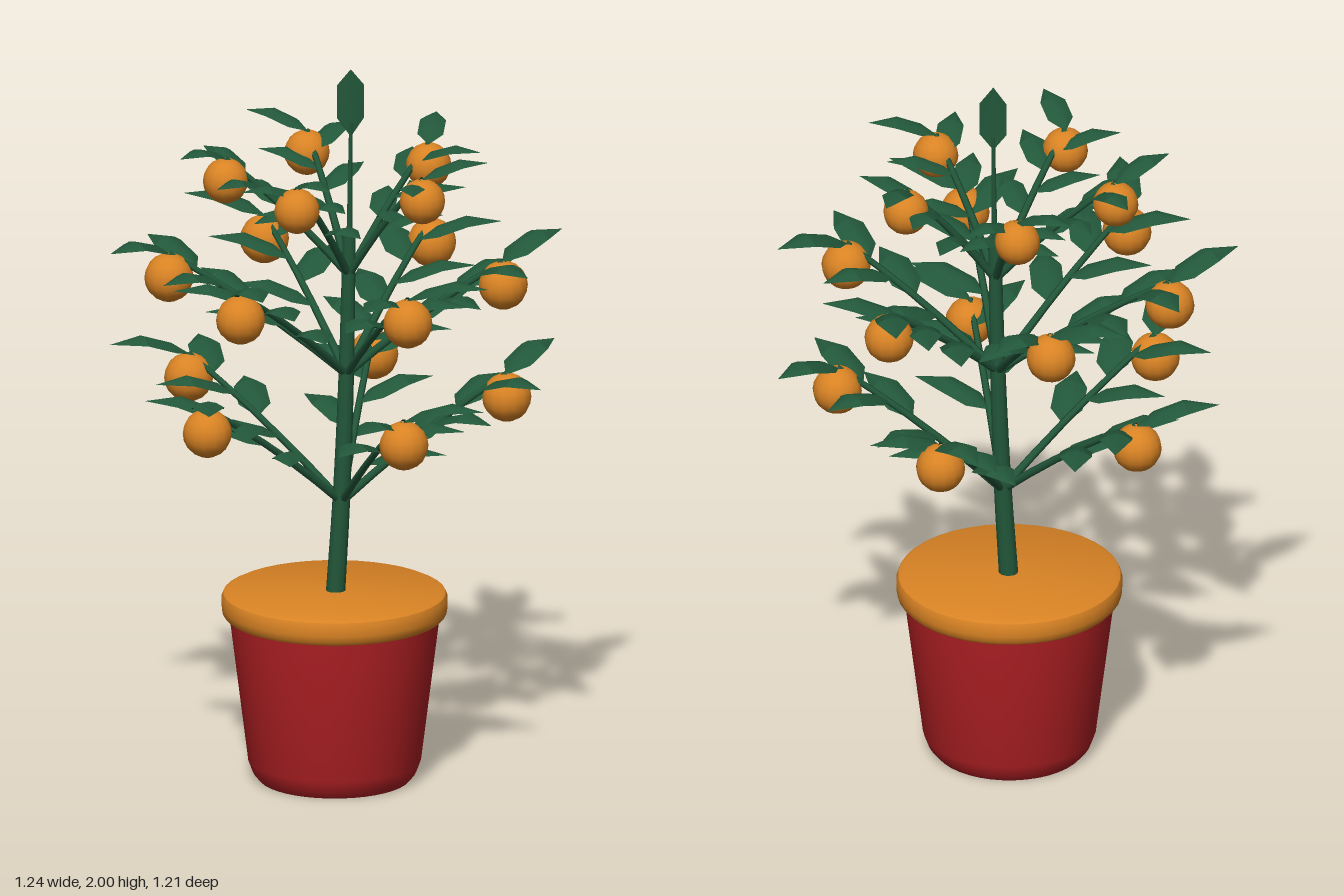
import * as THREE from 'three';
import { toCreasedNormals } from 'three/addons/utils/BufferGeometryUtils.js';

const green = new THREE.MeshStandardMaterial({ color: 0x22573a, side: THREE.DoubleSide });
green.name = 'leaf green';
const orange = new THREE.MeshStandardMaterial({ color: 0xd98324 });
orange.name = 'orange';
const red = new THREE.MeshStandardMaterial({ color: 0xb22024 });
red.name = 'pot red';

const rad = THREE.MathUtils.degToRad;
const vec = (x, y, z) => new THREE.Vector3(x, y, z);

function add(parent, name, geometry, material) {
  const mesh = new THREE.Mesh(geometry, material);
  mesh.name = name;
  parent.add(mesh);
  return mesh;
}

function lathe(points) {
  const profile = points.map(([r, y]) => new THREE.Vector2(r, y));
  return toCreasedNormals(new THREE.LatheGeometry(profile, 40), rad(35));
}

// Tube whose radius runs evenly from r0 to r1
function taperedTube(curve, segments, sides, r0, r1) {
  const geometry = new THREE.TubeGeometry(curve, segments, 1, sides);
  const pos = geometry.attributes.position;
  const p = new THREE.Vector3();
  for (let i = 0; i < pos.count; i++) {
    const t = Math.floor(i / (sides + 1)) / segments;
    const centre = curve.getPointAt(t);
    p.fromBufferAttribute(pos, i).sub(centre).multiplyScalar(r0 + (r1 - r0) * t).add(centre);
    pos.setXYZ(i, p.x, p.y, p.z);
  }
  return geometry;
}

// Leaf of length 1 along +x; rows are [x, height, half width], with edges bent down
function leafGeometry(rows, bend) {
  const cols = 4, positions = [], index = [];
  rows.forEach(([x, y, w], i) => {
    for (let j = 0; j <= cols; j++) {
      const s = (j / cols) * 2 - 1;
      positions.push(x, y - bend * s * s * (w / 0.2), s * w);
      if (i < rows.length - 1 && j < cols) {
        const a = i * (cols + 1) + j, b = a + cols + 1;
        index.push(a, a + 1, b, a + 1, b + 1, b);
      }
    }
  });
  const geometry = new THREE.BufferGeometry();
  geometry.setAttribute('position', new THREE.Float32BufferAttribute(positions, 3));
  geometry.setIndex(index);
  return toCreasedNormals(geometry, rad(28));
}

const archedLeaf = leafGeometry(
  [[0, 0, 0.02], [0.22, 0.15, 0.195], [0.58, 0.27, 0.195], [1, 0.2, 0.002]], 0.08);
const straightLeaf = leafGeometry(
  [[0, 0, 0.02], [0.25, 0, 0.2], [0.75, 0, 0.2], [1, 0, 0.002]], 0.04);

export function createModel() {
  const model = new THREE.Group();
  model.name = 'pottedFruitTree';
  const tree = new THREE.Group();
  tree.name = 'tree';
  tree.position.z = 0.035;
  model.add(tree);

  // Pot with rounded foot, thick rim and filled top
  const pot = new THREE.Group();
  pot.name = 'pot';
  pot.position.set(-0.004, 0, 0.033);
  model.add(pot);
  add(pot, 'potBody', lathe([[0, 0], [0.205, 0], [0.222, 0.02], [0.235, 0.055], [0.287, 0.47]]), red);
  add(pot, 'potRim', lathe([[0.27, 0.458], [0.295, 0.458], [0.304, 0.468], [0.307, 0.485],
    [0.307, 0.51], [0.302, 0.523], [0.288, 0.53], [0, 0.53]]), orange);

  // Slightly leaning trunk with a thin leader and its upright leaf
  const trunkPoints = [vec(-0.003, 0.5, 0), vec(0.015, 0.8, 0), vec(0.028, 1.15, 0), vec(0.036, 1.54, 0)];
  const trunk = new THREE.CatmullRomCurve3(trunkPoints);
  add(tree, 'trunk', taperedTube(trunk, 10, 10, 0.027, 0.018), green);
  const cap = add(tree, 'trunkTop', new THREE.CircleGeometry(0.018, 10), green);
  cap.position.copy(trunkPoints[3]);
  cap.rotation.x = -Math.PI / 2;
  const leader = new THREE.LineCurve3(vec(0.036, 1.5, 0), vec(0.04, 1.85, 0));
  add(tree, 'leader', taperedTube(leader, 1, 6, 0.009, 0.005), green);
  const topLeaf = add(tree, 'topLeaf', straightLeaf, green);
  topLeaf.position.set(0.04, 1.815, 0);
  topLeaf.rotation.set(0, Math.PI / 2, Math.PI / 2);
  topLeaf.scale.setScalar(0.185);

  // Three whorls of branches
  const tiers = [
    { count: 5, turn: 0, reach: 0.465, baseX: 0.015, base: 0.78, tip: 1.13, fruit: 0.067, leaf: 0.226 },
    { count: 6, turn: 10, reach: 0.455, baseX: 0.028, base: 1.14, tip: 1.47, fruit: 0.067, leaf: 0.226 },
    { count: 5, turn: 44, reach: 0.3, baseX: 0.034, base: 1.42, tip: 1.745, fruit: 0.062, leaf: 0.182 },
  ];
  for (const tier of tiers) {
    for (let k = 0; k < tier.count; k++) {
      const angle = rad(tier.turn + (360 / tier.count) * k);
      const branch = new THREE.Group();
      branch.name = 'branch';
      tree.add(branch);

      const start = vec(tier.baseX, tier.base, 0);
      const end = vec(Math.cos(angle) * tier.reach, tier.tip, Math.sin(angle) * tier.reach);
      const middle = start.clone().lerp(end, 0.5).add(vec(0, 0.03, 0));
      const curve = new THREE.QuadraticBezierCurve3(start, middle, end);
      add(branch, 'branchStem', taperedTube(curve, 5, 6, 0.012, 0.008), green);

      // Fruit hanging under the tip
      const fruit = add(branch, 'fruit', new THREE.SphereGeometry(tier.fruit, 14, 10), orange);
      fruit.position.set(end.x, end.y - tier.fruit, end.z);

      // Leaves alternating from side to side along the branch
      for (let i = 0; i < 5; i++) {
        const side = i % 2 ? 1 : -1;
        const leaf = add(branch, 'leaf', archedLeaf, green);
        leaf.position.copy(curve.getPoint(0.4 + 0.15 * i));
        leaf.rotation.y = -(angle + side * rad(50));
        leaf.scale.setScalar(tier.leaf);
      }
    }
  }
  return model;
}
